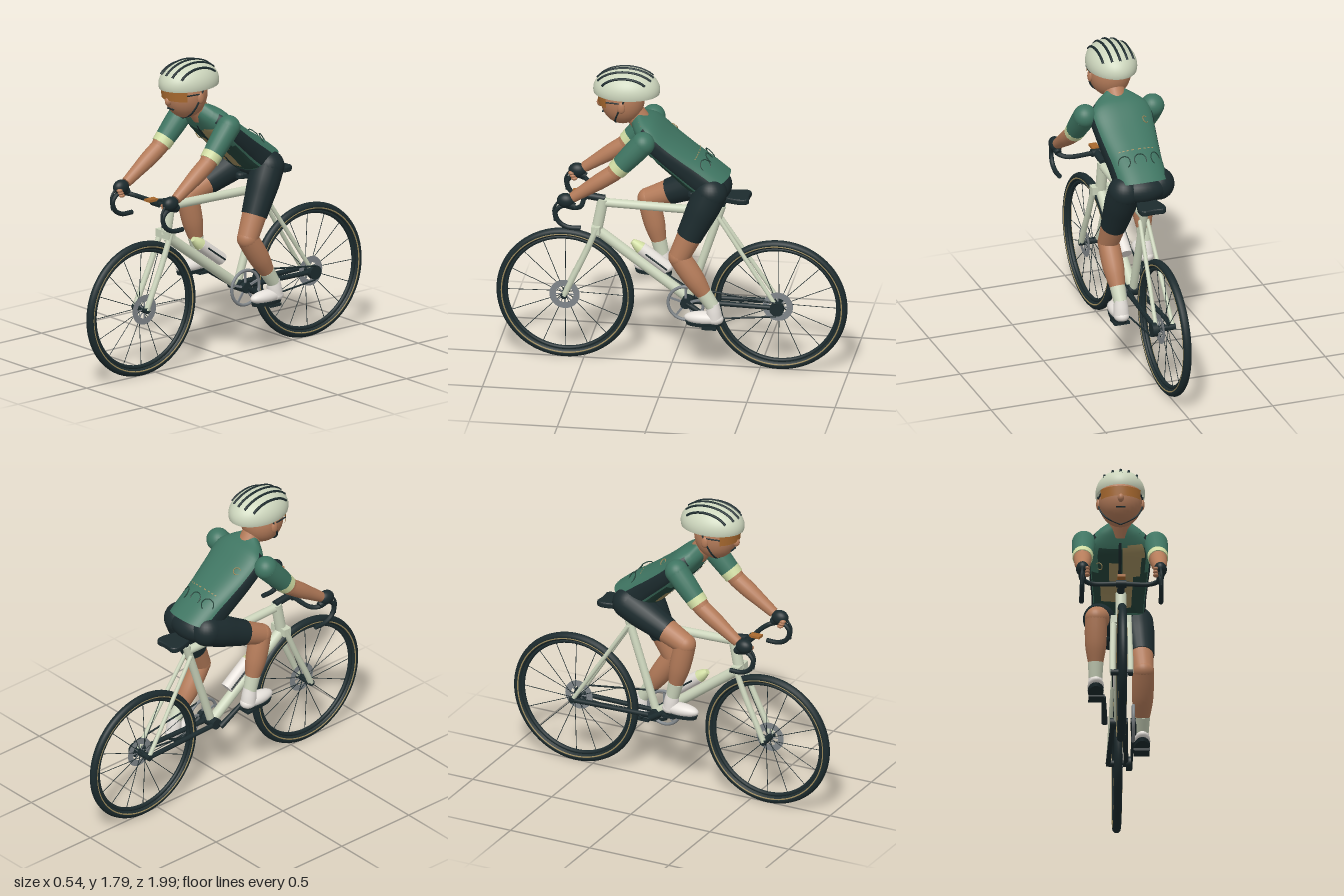
import * as THREE from 'three';

const mat = (name, color, double) => {
  const m = new THREE.MeshStandardMaterial({ color });
  m.name = name;
  if (double) m.side = THREE.DoubleSide;
  return m;
};
const V = (x, y, z) => new THREE.Vector3(x, y, z);

export function createModel() {
  const root = new THREE.Group();
  root.name = 'cyclist';
  const dark = mat('charcoal', 0x1c2b2e, true), sage = mat('pale sage', 0xcdd6bd, true);
  const green = mat('jersey green', 0x3f7562, true), deep = mat('deep green', 0x24433a);
  const skin = mat('skin', 0xb57c5a), tan = mat('tan', 0x9c8a5c), lensMat = mat('amber', 0xa8692f, true);
  const grey = mat('steel grey', 0x80868a, true), white = mat('off white', 0xe6e1db), lime = mat('pale lime', 0xd2dea4);

  const add = (name, geo, m, pos, parent = root) => {
    const o = new THREE.Mesh(geo, m);
    o.name = name;
    if (pos) o.position.copy(pos);
    parent.add(o);
    return o;
  };
  const ball = (name, m, pos, sx, sy = sx, sz = sx) => {
    const o = add(name, new THREE.SphereGeometry(1, 28, 18), m, pos);
    o.scale.set(sx, sy, sz);
    return o;
  };
  const box = (name, m, pos, x, y, z) => add(name, new THREE.BoxGeometry(x, y, z), m, pos);
  // Round bar from a to b whose radius follows a list
  const limb = (name, m, a, b, radii) => {
    const dir = b.clone().sub(a), len = dir.length();
    const curve = new THREE.SplineCurve(radii.map((r, i) => new THREE.Vector2(r, len * i / (radii.length - 1))));
    const pts = radii.length > 2 ? curve.getPoints(14) : curve.points;
    const profile = [new THREE.Vector2(0, 0), pts[0].clone(), ...pts, pts.at(-1).clone(), new THREE.Vector2(0, len)];
    const o = add(name, new THREE.LatheGeometry(profile, 20), m, a);
    o.quaternion.setFromUnitVectors(V(0, 1, 0), dir.normalize());
    return o;
  };
  const bar = (name, m, a, b, r, r2 = r) => limb(name, m, a, b, [r, r2]);
  const tube = (name, m, pts, r, seg = 32) =>
    add(name, new THREE.TubeGeometry(new THREE.CatmullRomCurve3(pts), seg, r, 10), m);
  const hoop = (name, m, pos, R, r, seg = 72, parent = root) =>
    add(name, new THREE.TorusGeometry(R, r, 12, seg).rotateY(Math.PI / 2), m, pos, parent);
  const disc = (name, m, pos, r, w) =>
    add(name, new THREE.CylinderGeometry(r, r, w, 28).rotateZ(Math.PI / 2), m, pos);

  // Wheels
  for (const [name, z] of [['frontWheel', 0.605], ['rearWheel', -0.605]]) {
    const w = new THREE.Group();
    w.name = name;
    w.position.set(0, 0.4, z);
    root.add(w);
    hoop('tyre', dark, null, 0.367, 0.024, 80, w);
    hoop('rim', dark, null, 0.338, 0.012, 80, w);
    for (const s of [-1, 1]) {
      hoop('tyreLine', tan, V(s * 0.02, 0, 0), 0.36, 0.0045, 80, w);
    }
    for (let i = 0; i < 16; i++) {
      const g = new THREE.CylinderGeometry(0.002, 0.002, 0.31, 5);
      g.translate(0, 0.175, 0).rotateZ(i % 2 ? 0.06 : -0.06).rotateX(i * Math.PI / 8);
      add('spoke', g, dark, V(i % 2 ? 0.018 : -0.018, 0, 0), w);
    }
    add('brakeRotor', new THREE.RingGeometry(0.05, 0.086, 40).rotateY(Math.PI / 2), grey, V(0.03, 0, 0), w);
    for (let i = 0; i < 8; i++) {
      const g = new THREE.BoxGeometry(0.003, 0.05, 0.007).translate(0, 0.035, 0).rotateX(i * Math.PI / 4);
      add('rotorArm', g, grey, V(0.03, 0, 0), w);
    }
    add('axle', new THREE.CylinderGeometry(0.018, 0.018, 0.125, 16).rotateZ(Math.PI / 2), dark, null, w);
  }

  // Frame and fork
  const bb = V(0, 0.41, -0.095), crown = V(0, 0.8, 0.425);
  bar('headTube', sage, crown, V(0, 0.985, 0.39), 0.031);
  bar('topTube', sage, V(0, 0.962, 0.39), V(0, 0.945, -0.27), 0.025);
  bar('downTube', sage, V(0, 0.79, 0.42), bb, 0.03);
  bar('seatTube', sage, V(0, 0.985, -0.285), bb, 0.023);
  bar('seatPost', dark, V(0, 0.98, -0.283), V(0, 1.04, -0.3), 0.017);
  disc('bottomBracket', dark, bb, 0.032, 0.1);
  box('forkCrown', sage, V(0, 0.805, 0.427), 0.115, 0.045, 0.05);
  for (const s of [-1, 1]) {
    tube('forkLeg', sage, [V(s * 0.043, 0.82, 0.42), V(s * 0.047, 0.65, 0.49), V(s * 0.05, 0.5, 0.56), V(s * 0.05, 0.4, 0.605)], 0.017);
    bar('seatStay', sage, V(s * 0.022, 0.92, -0.265), V(s * 0.05, 0.4, -0.605), 0.012);
    bar('chainStay', dark, V(s * 0.035, 0.405, -0.1), V(s * 0.05, 0.4, -0.605), 0.014);
  }

  // Saddle
  const sad = new THREE.Shape();
  sad.moveTo(0, 0.1);
  sad.bezierCurveTo(0.035, 0.1, 0.015, 0.22, 0.035, 0.28);
  sad.bezierCurveTo(0.06, 0.34, 0.09, 0.43, 0.05, 0.435);
  sad.quadraticCurveTo(0, 0.425, -0.05, 0.435);
  sad.bezierCurveTo(-0.09, 0.43, -0.06, 0.34, -0.035, 0.28);
  sad.bezierCurveTo(-0.015, 0.22, -0.035, 0.1, 0, 0.1);
  add('saddle', new THREE.ExtrudeGeometry(sad, { depth: 0.015, bevelSize: 0.01, bevelThickness: 0.01, bevelSegments: 3 })
    .rotateX(-Math.PI / 2), dark, V(0, 1.035, 0));

  // Drivetrain
  hoop('chainring', grey, V(0.08, 0.41, -0.09), 0.1, 0.009);
  disc('chainringHub', dark, V(0.08, 0.41, -0.09), 0.03, 0.03);
  for (let i = 0; i < 5; i++) {
    const g = new THREE.BoxGeometry(0.008, 0.08, 0.012).translate(0, 0.06, 0).rotateX(i * Math.PI * 0.4);
    add('chainringArm', g, grey, V(0.08, 0.41, -0.09));
  }
  disc('rearCogs', dark, V(0.065, 0.4, -0.605), 0.04, 0.03);
  bar('upperChain', dark, V(0.08, 0.51, -0.1), V(0.08, 0.44, -0.6), 0.005);
  bar('lowerChain', dark, V(0.08, 0.31, -0.1), V(0.08, 0.36, -0.6), 0.005);
  for (const s of [-1, 1]) {
    const end = V(s * 0.09, 0.41 - s * 0.095, -0.095 - s * 0.15);
    bar('crank', dark, V(s * 0.08, 0.41, -0.095), end, 0.017, 0.013);
    box('pedal', dark, end.clone().add(V(s * 0.04, -0.015, 0.01)), 0.09, 0.015, 0.08);
  }

  // Bottle and cage
  bar('bottle', white, V(0, 0.58, 0.02), V(0, 0.695, 0.175), 0.037);
  limb('bottleCap', lime, V(0, 0.695, 0.175), V(0, 0.735, 0.225), [0.036, 0.028, 0.015]);
  for (const s of [-1, 1]) bar('bottleCage', dark, V(s * 0.037, 0.585, 0.022), V(s * 0.037, 0.675, 0.145), 0.005);

  // Handlebar, stem and small computer
  bar('stem', dark, V(0, 0.985, 0.38), V(0, 1.0, 0.5), 0.021);
  disc('barClamp', dark, V(0, 1.0, 0.495), 0.022, 0.06);
  box('bikeComputer', lensMat, V(0, 1.022, 0.53), 0.045, 0.014, 0.065);
  for (const s of [-1, 1]) {
    tube('dropBar', dark, [V(0, 1, 0.495), V(s * 0.17, 1, 0.495), V(s * 0.213, 1.01, 0.525), V(s * 0.218, 1.02, 0.59),
      V(s * 0.22, 0.98, 0.628), V(s * 0.222, 0.925, 0.61), V(s * 0.223, 0.895, 0.56), V(s * 0.223, 0.892, 0.485)], 0.0135, 60);
    limb('brakeHood', dark, V(s * 0.218, 1.02, 0.52), V(s * 0.219, 1.06, 0.61), [0.02, 0.024, 0.016]);
    tube('brakeLever', dark, [V(s * 0.22, 1.05, 0.61), V(s * 0.222, 1.0, 0.638), V(s * 0.223, 0.93, 0.63)], 0.007);
  }

  // Torso: cross-sections from hem to collar (height, depth position, half width, half depth, lean)
  const rings = [[1.135, -0.22, 0.15, 0.12, 0.39], [1.24, -0.085, 0.16, 0.096, 0.8], [1.342, 0.038, 0.175, 0.085, 0.87],
    [1.43, 0.13, 0.172, 0.076, 1.0], [1.475, 0.18, 0.115, 0.055, 1.0], [1.505, 0.205, 0.06, 0.045, 1.0]];
  const centre = new THREE.CatmullRomCurve3(rings.map(r => V(0, r[0], r[1])));
  const size = new THREE.CatmullRomCurve3(rings.map(r => V(r[2], r[3], r[4])));
  const torsoPoint = (t, a, off = 0) => {
    const c = centre.getPoint(t), k = size.getPoint(t);
    const soft = q => Math.sign(q) * Math.abs(q) ** 0.82;
    const x = soft(Math.cos(a)) * (k.x + off), d = soft(Math.sin(a)) * (k.y + off);
    return V(x, c.y + d * Math.sin(k.z), c.z - d * Math.cos(k.z));
  };
  const patch = (name, m, t0, t1, a0, a1, off = 0) => {
    const g = new THREE.PlaneGeometry(1, 1, 20, 24), p = g.attributes.position;
    for (let i = 0; i < p.count; i++) {
      const q = torsoPoint(t0 + (t1 - t0) * (p.getY(i) + 0.5), a0 + (a1 - a0) * (p.getX(i) + 0.5), off);
      p.setXYZ(i, q.x, q.y, q.z);
    }
    g.computeVertexNormals();
    return add(name, g, m);
  };
  const PI = Math.PI, e = 0.38;
  patch('jerseyBack', green, 0, 1, e, PI - e);
  patch('jerseyFront', green, 0, 1, PI + e, 2 * PI - e);
  patch('leftSidePanel', dark, 0, 0.72, -e, e);
  patch('rightSidePanel', dark, 0, 0.72, PI - e, PI + e);
  patch('leftShoulder', green, 0.72, 1, -e, e);
  patch('rightShoulder', green, 0.72, 1, PI - e, PI + e);
  // Chest pattern and zip
  patch('chestLower', deep, 0.02, 0.36, PI + 0.5, 2 * PI - 0.5, 0.002);
  patch('chestMiddle', deep, 0.35, 0.6, PI + 0.9, 2 * PI - 0.7, 0.002);
  for (const [t0, t1, a0, a1] of [[0.34, 0.62, 4.76, 5.35], [0.5, 0.66, 4.9, 5.5], [0.08, 0.36, 4.73, 5.08],
    [0.14, 0.28, 4.1, 4.7], [0.27, 0.46, 4.45, 4.7]]) patch('chestBlotch', tan, t0, t1, a0, a1, 0.005);
  patch('zip', dark, 0, 0.7, 4.69, 4.735, 0.007);
  // Back pockets and round badge outlines
  const ringOn = (name, m, t, a, r) => {
    const q = torsoPoint(t, a, 0.002), o = add(name, new THREE.TorusGeometry(r, 0.003, 6, 28), m, q);
    const n = torsoPoint(t, a, 0.05).sub(q).normalize();
    o.quaternion.setFromUnitVectors(V(0, 0, 1), n);
  };
  for (const a of [1.02, PI / 2, PI - 1.02]) ringOn('pocket', deep, 0.13, a, 0.035);
  for (let i = 0; i < 8; i++) patch('pocketStitch', tan, 0.195, 0.202, 0.95 + i * 0.16, 1.03 + i * 0.16, 0.004);
  ringOn('backBadge', tan, 0.42, 2.15, 0.02);
  ringOn('chestBadge', tan, 0.42, PI + 0.95, 0.02);

  // Hips and legs
  ball('hips', dark, V(0, 1.105, -0.23), 0.155, 0.088, 0.11);
  const leg = (s, hip, knee, ankle) => {
    const cut = hip.clone().lerp(knee, 0.68);
    ball('shortsHip', dark, hip, 0.093);
    limb('shortsLeg', dark, hip, cut, [0.093, 0.092, 0.083, 0.074]);
    limb('thigh', skin, cut, knee, [0.07, 0.065, 0.06]);
    ball('knee', skin, knee, 0.0605);
    const sock = knee.clone().lerp(ankle, 0.74);
    limb('calf', skin, knee, sock, [0.06, 0.062, 0.058, 0.043]);
    limb('sock', sage, sock, ankle, [0.044, 0.038]);
    const foot = ankle.clone().add(V(0, -0.075, 0.05));
    limb('shoeHeel', white, ankle.clone().add(V(0, 0.015, 0)), V(ankle.x, foot.y, ankle.z - 0.012), [0.036, 0.042, 0.044]);
    ball('shoeHeelCup', white, V(ankle.x, foot.y - 0.003, ankle.z - 0.012), 0.044, 0.035, 0.05);
    ball('shoe', white, foot, 0.046, 0.038, 0.112);
    const sole = add('sole', new THREE.CylinderGeometry(0.045, 0.042, 0.02, 28), dark, foot.clone().add(V(0, -0.032, 0)));
    sole.scale.z = 2.35;
  };
  leg(1, V(0.103, 1.1, -0.235), V(0.135, 0.715, -0.06), V(0.132, 0.425, -0.25));
  leg(-1, V(-0.103, 1.11, -0.22), V(-0.135, 0.945, 0.155), V(-0.135, 0.61, 0.075));

  // Arms and gloved hands
  for (const s of [-1, 1]) {
    const shoulder = V(s * 0.202, 1.42, 0.135), elbow = V(s * 0.213, 1.235, 0.3), wrist = V(s * 0.218, 1.075, 0.53);
    const cuff = shoulder.clone().lerp(elbow, 0.72), end = shoulder.clone().lerp(elbow, 0.9);
    ball('shoulder', green, shoulder, 0.067);
    limb('sleeve', green, shoulder, cuff, [0.067, 0.064, 0.058]);
    limb('sleeveCuff', lime, cuff, end, [0.059, 0.056]);
    limb('elbowArm', skin, end, elbow, [0.051, 0.048]);
    ball('elbow', skin, elbow, 0.048);
    limb('forearm', skin, elbow, wrist, [0.048, 0.046, 0.038, 0.03]);
    ball('glove', dark, V(s * 0.218, 1.055, 0.57), 0.037, 0.042, 0.05);
    for (let i = 0; i < 3; i++) ball('finger', skin, V(s * 0.193, 1.045 - i * 0.016, 0.6 - i * 0.008), 0.016, 0.011, 0.018);
  }

  // Neck and head
  bar('neck', skin, V(0, 1.45, 0.16), V(0, 1.58, 0.255), 0.06);
  ball('head', skin, V(0, 1.605, 0.28), 0.122, 0.145, 0.125);
  ball('nose', skin, V(0, 1.575, 0.405), 0.018, 0.025, 0.022);
  const mouth = box('mouth', dark, V(0, 1.527, 0.388), 0.055, 0.006, 0.008);
  mouth.rotation.x = 0.5;
  add('lens', new THREE.CylinderGeometry(0.134, 0.13, 0.058, 32, 1, true, -1, 2), lensMat, V(0, 1.613, 0.287));
  for (const s of [-1, 1]) {
    ball('ear', skin, V(s * 0.122, 1.595, 0.27), 0.014, 0.034, 0.022);
    bar('glassesArm', dark, V(s * 0.112, 1.62, 0.36), V(s * 0.125, 1.62, 0.27), 0.004);
    tube('chinStrap', dark, [V(s * 0.125, 1.65, 0.25), V(s * 0.119, 1.56, 0.29), V(s * 0.085, 1.5, 0.31), V(0, 1.458, 0.3)], 0.005);
  }

  // Helmet shell with dark vents
  const helmet = add('helmet', new THREE.SphereGeometry(1, 40, 24, 0, PI * 2, 0, PI * 0.56), sage, V(0, 1.665, 0.257));
  helmet.scale.set(0.14, 0.122, 0.189);
  for (const x of [-0.09, -0.045, 0, 0.045, 0.09]) {
    const k = Math.sqrt(1 - (x / 0.14) ** 2), pts = [];
    for (let i = 0; i <= 10; i++) {
      const f = 0.5 + i * 0.2;
      pts.push(V(x, 1.665 + 0.122 * k * Math.sin(f), 0.257 + 0.189 * k * Math.cos(f)));
    }
    tube('helmetVent', dark, pts, 0.0075);
  }
  return root;
}
